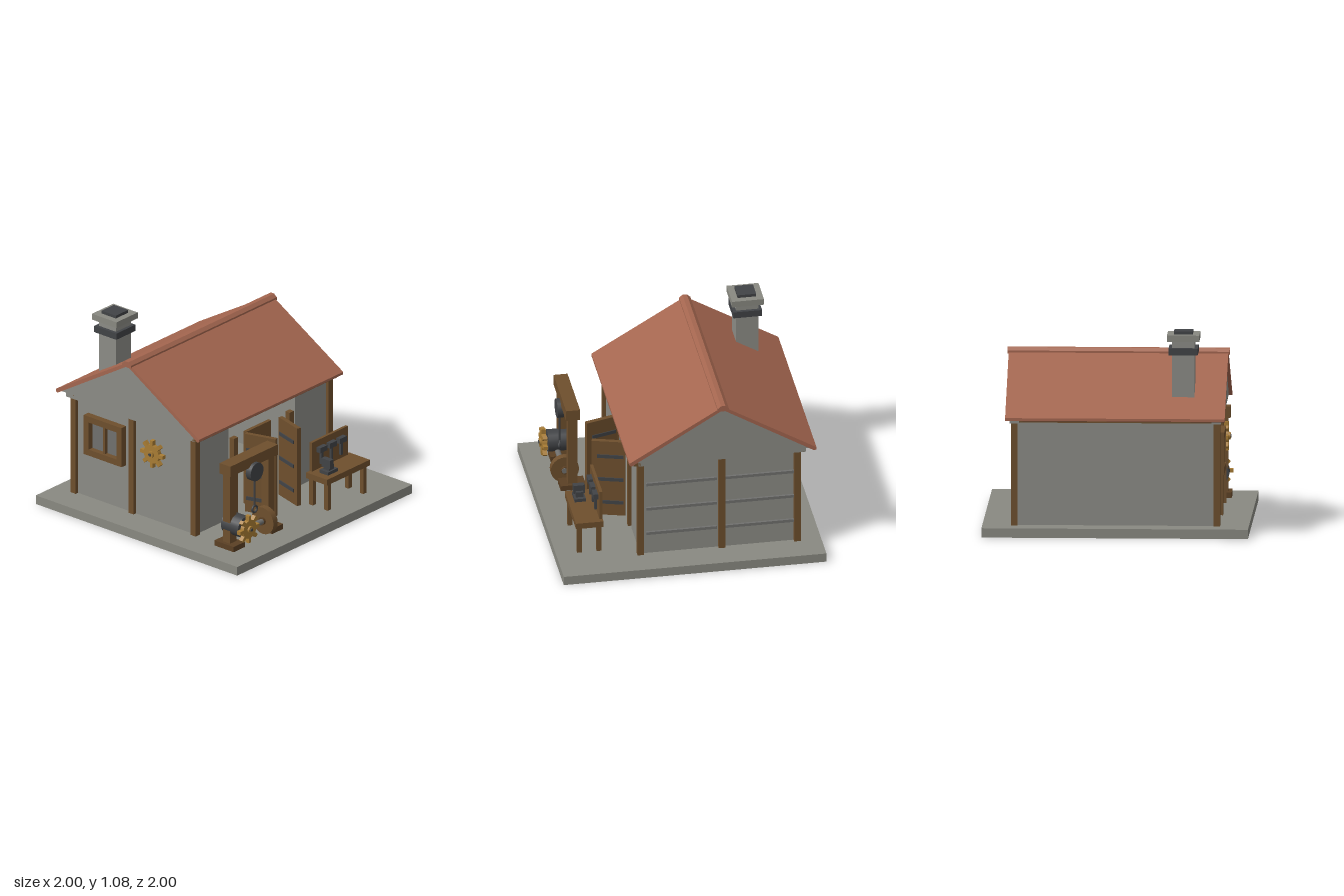
import * as THREE from 'three';

const mat = (name, color) => Object.assign(new THREE.MeshStandardMaterial({ color }), { name });

export function createModel() {
  const stone = mat('stone slab', 0x898981), wall = mat('plaster', 0x8c8c86), roofTile = mat('roof tile', 0xa4664f);
  const wood = mat('wood', 0x6e4f2d), darkWood = mat('dark wood', 0x5b4024), iron = mat('iron', 0x414346);
  const brass = mat('brass', 0xa87c34), steel = mat('steel', 0x70706e);
  wall.side = THREE.DoubleSide;

  const model = new THREE.Group();
  model.name = 'workshop';
  // the whole yard sits diagonally: local x runs along the ridge, local z towards the doors
  const yard = new THREE.Group();
  yard.name = 'yard';
  yard.rotation.y = Math.PI / 4;
  model.add(yard);

  const add = (name, geo, m, x, y, z, parent = yard) => {
    const mesh = new THREE.Mesh(geo, m);
    mesh.name = name;
    mesh.position.set(x, y, z);
    parent.add(mesh);
    return mesh;
  };
  // box given by its centre in x and z and its bottom and top
  const box = (name, m, x, z, w, d, y0, y1, parent = yard) =>
    add(name, new THREE.BoxGeometry(w, y1 - y0, d), m, x, (y0 + y1) / 2, z, parent);
  // cylinder along a chosen axis
  const cyl = (name, m, axis, r, len, x, y, z, parent = yard, seg = 20) => {
    const g = new THREE.CylinderGeometry(r, r, len, seg);
    if (axis === 'x') g.rotateZ(Math.PI / 2);
    if (axis === 'z') g.rotateX(Math.PI / 2);
    return add(name, g, m, x, y, z, parent);
  };
  // profile in (z, y), extruded along x about the centre
  const prism = (name, m, points, len, z) => {
    const shape = new THREE.Shape(points.map(p => new THREE.Vector2(...p)));
    const g = new THREE.ExtrudeGeometry(shape, { depth: len, bevelEnabled: false });
    g.translate(0, 0, -len / 2).rotateY(-Math.PI / 2);
    return add(name, g, m, 0, 0, z);
  };

  // ground slab
  box('groundSlab', stone, 0, 0, 1.414, 1.414, 0, 0.05);

  // walls, with a wide opening at the front
  const F = 0.05, E = 0.625, mid = -0.172, front = 0.265, back = -0.578;
  box('backWall', wall, 0, back + 0.01, 1.07, 0.02, F, E);
  for (const s of [-1, 1]) {
    box('gableWall', wall, s * 0.525, (front + back) / 2, 0.02, front - back, F, E);
    box('frontWall', wall, s * 0.4, front - 0.01, 0.26, 0.02, F, E);
    box('doorPost', wood, s * 0.225, front, 0.035, 0.03, F, 0.51);
    for (const z of [front, mid, back]) box('post', wood, s * 0.537, z, 0.035, 0.035, F, E);
    box('gableBeam', wall, s * 0.535, mid, 0.05, 0.9, 0.6, 0.63);
  }
  box('eaveBeam', wood, 0, front + 0.02, 1.12, 0.04, 0.603, 0.628);
  box('backEaveBeam', wood, 0, back - 0.01, 1.12, 0.04, 0.603, 0.628);
  box('innerPanel', wood, 0.04, 0.2, 0.2, 0.02, F, 0.47);

  // rails on the right gable
  for (const y of [0.175, 0.325, 0.475])
    for (const z of [-0.375, 0.045]) box('gableRail', steel, 0.54, z, 0.016, 0.38, y - 0.008, y + 0.008);

  // gables, roof and ridge
  prism('gable', wall, [[-0.48, 0.625], [0.48, 0.625], [0, 0.918]], 1.13, mid);
  prism('roof', roofTile, [[-0.503, 0.622], [-0.49, 0.618], [0, 0.915], [0.49, 0.618], [0.503, 0.622],
    [0.503, 0.636], [0, 0.936], [-0.503, 0.636]], 1.165, mid);
  prism('ridgeCap', roofTile, [[-0.03, 0.912], [0.03, 0.912], [0.03, 0.928], [0.012, 0.944], [-0.012, 0.944],
    [-0.03, 0.928]], 1.18, mid);

  // chimney
  const cx = -0.356, cz = -0.457;
  box('chimneyShaft', wall, cx, cz, 0.12, 0.12, 0.66, 1.04);
  box('chimneyBand', iron, cx, cz, 0.155, 0.155, 0.957, 0.993);
  box('chimneyCap', stone, cx, cz, 0.172, 0.172, 1.03, 1.064);
  box('chimneyFlue', iron, cx, cz, 0.1, 0.1, 1.05, 1.08);

  // window on the left gable
  const wx = -0.55, wz = -0.355;
  for (const s of [-1, 1]) {
    box('windowSide', wood, wx, wz + s * 0.115, 0.045, 0.035, 0.31, 0.537);
    box('windowRail', wood, wx, wz, 0.045, 0.2, s < 0 ? 0.31 : 0.502, s < 0 ? 0.345 : 0.537);
  }
  box('windowPane', steel, -0.537, wz, 0.008, 0.2, 0.34, 0.51);
  box('windowMullion', wood, wx, wz, 0.025, 0.014, 0.34, 0.51);

  // gear facing local z, with block teeth
  const gear = (name, x, y, z, turn) => {
    const g = new THREE.Group();
    g.name = name;
    g.position.set(x, y, z);
    g.rotation.y = turn;
    cyl('gearDisc', brass, 'z', 0.052, 0.024, 0, 0, 0, g, 24);
    cyl('gearHub', brass, 'z', 0.02, 0.045, 0, 0, 0, g, 12);
    cyl('gearAxle', iron, 'z', 0.009, 0.052, 0, 0, 0, g, 10);
    for (let i = 0; i < 8; i++) {
      const a = i * Math.PI / 4;
      const t = add('gearTooth', new THREE.BoxGeometry(0.032, 0.02, 0.024), brass,
        Math.cos(a) * 0.062, Math.sin(a) * 0.062, 0, g);
      t.rotation.z = a;
    }
    yard.add(g);
  };
  gear('wallGear', -0.565, 0.45, -0.01, -Math.PI / 2);

  // two open doors with strap hinges
  for (const s of [-1, 1]) {
    const door = new THREE.Group();
    door.name = s < 0 ? 'leftDoor' : 'rightDoor';
    door.position.set(s * 0.14, 0, front + 0.01);
    door.rotation.y = -s * 0.28;
    box('doorLeaf', wood, 0, 0.09, 0.024, 0.18, 0.06, 0.51, door);
    for (const y of [0.14, 0.28, 0.42])
      box('doorStrap', iron, 0, 0.08, 0.034, 0.14, y - 0.01, y + 0.01, door);
    yard.add(door);
  }

  // hoist frame
  const hz = 0.5;
  box('hoistBeam', wood, -0.375, hz, 0.385, 0.075, 0.475, 0.535);
  for (const x of [-0.53, -0.22]) {
    box('hoistPost', wood, x, hz, 0.05, 0.05, F, 0.48);
    box('hoistFoot', darkWood, x, hz, 0.09, 0.135, F, 0.08);
  }
  // pulley, rod and ring
  cyl('pulley', iron, 'z', 0.052, 0.035, -0.374, 0.445, 0.54);
  cyl('hoistRod', iron, 'y', 0.006, 0.18, -0.374, 0.335, 0.54, yard, 8);
  add('hoistRing', new THREE.TorusGeometry(0.019, 0.006, 8, 18), iron, -0.374, 0.226, 0.54);

  // winch: drum, gear, axle and flywheel
  cyl('winchDrum', iron, 'z', 0.06, 0.12, -0.5, 0.175, 0.525);
  gear('winchGear', -0.5, 0.172, 0.605, 0);
  cyl('winchAxle', steel, 'x', 0.015, 0.26, -0.375, 0.13, 0.535, yard, 12);
  cyl('flywheel', wood, 'x', 0.076, 0.035, -0.28, 0.128, 0.53, yard, 24);
  cyl('flywheelHub', darkWood, 'x', 0.022, 0.06, -0.28, 0.128, 0.53, yard, 12);

  // workbench
  box('benchTop', wood, 0.314, 0.528, 0.345, 0.148, 0.205, 0.238);
  for (const x of [0.17, 0.458])
    for (const z of [0.475, 0.58]) box('benchLeg', wood, x, z, 0.026, 0.026, F, 0.21);
  box('toolBoard', wood, 0.314, 0.463, 0.29, 0.016, 0.235, 0.405);
  for (const x of [0.235, 0.314, 0.393]) {
    box('hammerHead', iron, x, 0.484, 0.056, 0.026, 0.338, 0.368);
    box('hammerHandle', iron, x, 0.48, 0.014, 0.014, 0.265, 0.34);
  }
  // vise on the bench
  box('viseFoot', iron, 0.225, 0.54, 0.08, 0.06, 0.238, 0.256);
  box('viseBody', iron, 0.225, 0.54, 0.04, 0.04, 0.25, 0.285);
  box('viseJaw', iron, 0.215, 0.54, 0.03, 0.06, 0.27, 0.318);

  return model;
}
